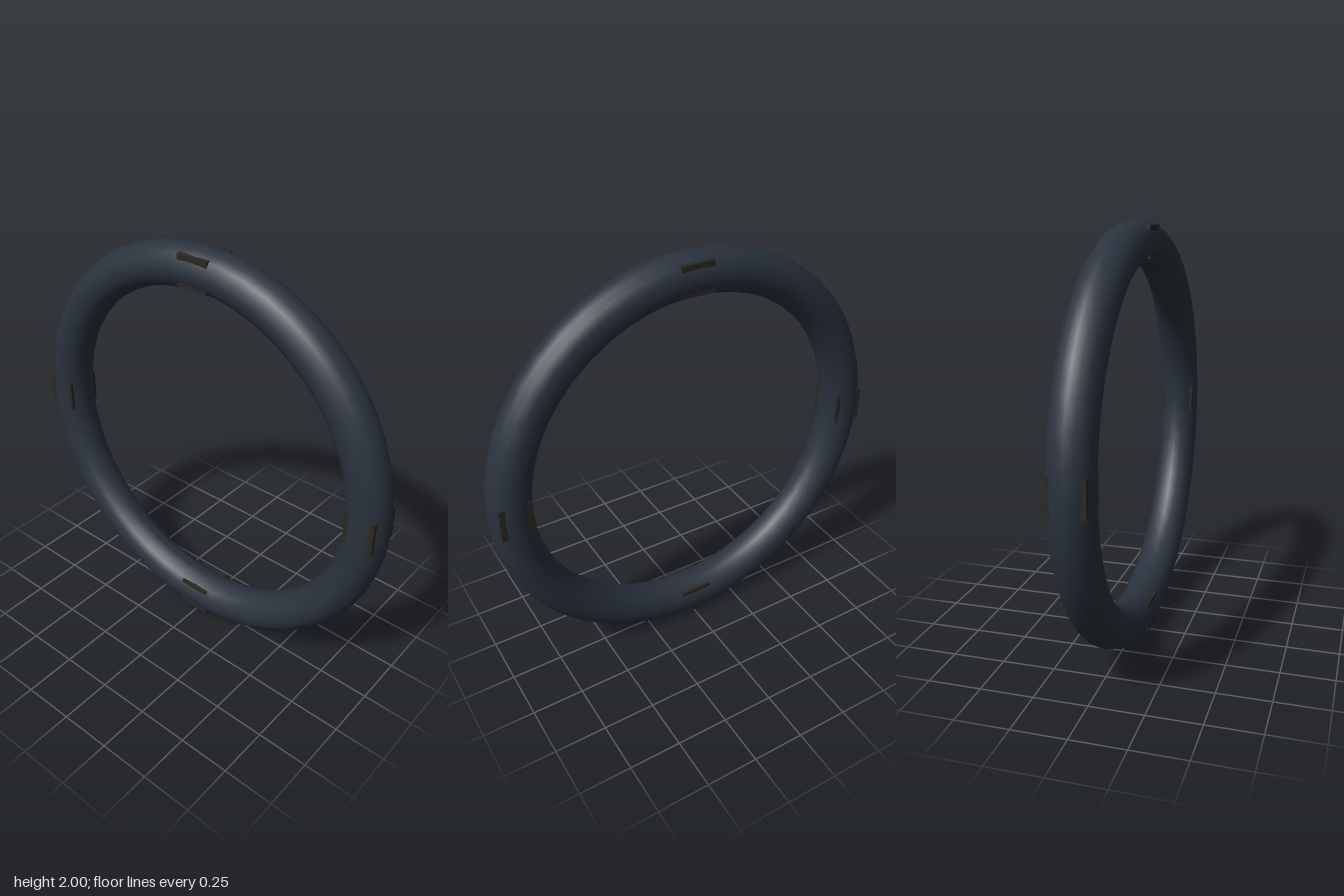
import * as THREE from 'three';

export function createModel() {
  const model = new THREE.Group();
  const ringMaterial = new THREE.MeshStandardMaterial({ color: 0x2a323d });
  const clampMaterial = new THREE.MeshStandardMaterial({ color: 0x2b2823 });
  const ringRadius = 0.9;
  const tubeRadius = 0.1;

  // Round tube standing upright
  const ring = new THREE.Mesh(new THREE.TorusGeometry(ringRadius, tubeRadius, 16, 48), ringMaterial);
  ring.name = 'ring';
  ring.position.y = 1;
  model.add(ring);

  // Four square clamps whose corners stand out of the tube
  const clampGeometry = new THREE.BoxGeometry(0.145, 0.16, 0.17);
  for (let i = 0; i < 4; i++) {
    const angle = (i * Math.PI) / 2;
    const clamp = new THREE.Mesh(clampGeometry, clampMaterial);
    clamp.name = `clamp${i + 1}`;
    clamp.position.set(ringRadius * Math.cos(angle), 1 + ringRadius * Math.sin(angle), 0);
    clamp.rotation.z = angle;
    model.add(clamp);
  }
  return model;
}
